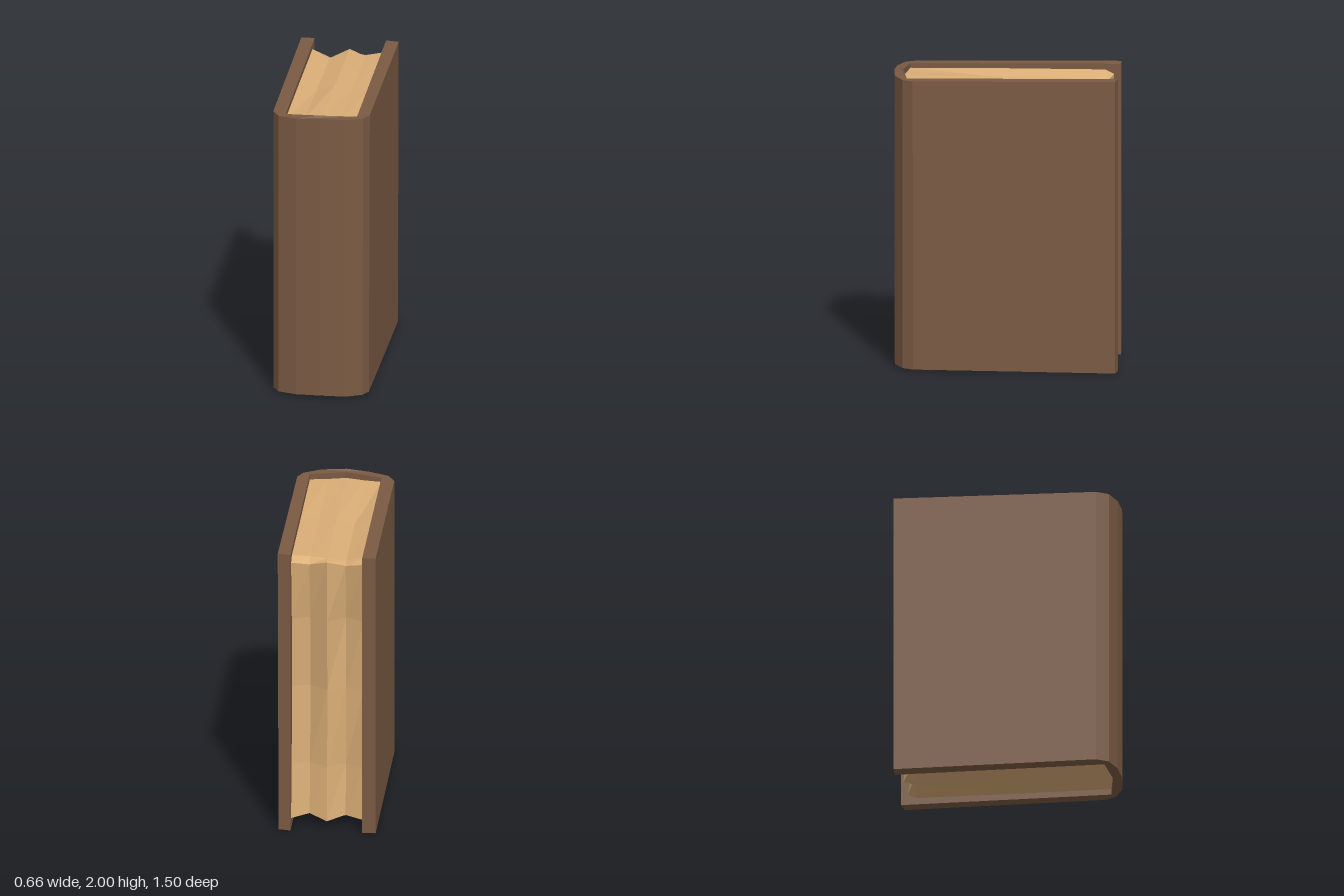
import * as THREE from 'three';

const coverMaterial = new THREE.MeshStandardMaterial({ color: 0x7a5a43, flatShading: true });
coverMaterial.name = 'brown leather';
const pageMaterial = new THREE.MeshStandardMaterial({ color: 0xd9ad76, flatShading: true });
pageMaterial.name = 'aged paper';

// Move every vertex of a geometry by a rule
function reshape(geometry, rule) {
  const pos = geometry.attributes.position;
  const v = new THREE.Vector3();
  for (let i = 0; i < pos.count; i++) {
    v.fromBufferAttribute(pos, i);
    rule(v);
    pos.setXYZ(i, v.x, v.y, v.z);
  }
  geometry.computeVertexNormals();
  return geometry;
}

// Two boards and a rounded spine in one U-shaped extrusion, points are (x, z)
function makeCover() {
  const outline = [
    [-0.33, -0.75], [-0.24, -0.75], [-0.24, 0.655], [0, 0.69], [0.24, 0.655], [0.24, -0.755],
    [0.327, -0.74], [0.32, 0.61], [0.285, 0.68], [0.17, 0.737], [0, 0.75], [-0.16, 0.737],
    [-0.285, 0.69], [-0.33, 0.61],
  ];
  const shape = new THREE.Shape(outline.map(([x, z]) => new THREE.Vector2(x, -z)));
  const geometry = new THREE.ExtrudeGeometry(shape, { depth: 2, bevelEnabled: false });
  geometry.rotateX(-Math.PI / 2);
  // Slightly worn, uneven top and bottom edges
  reshape(geometry, (v) => {
    const front = (v.z + 0.75) / 1.5;
    const middle = 1 - Math.abs(v.x) / 0.33;
    v.y = v.y > 1
      ? 2 - 0.016 * front + 0.012 * middle * front - (v.x < 0 ? 0.006 : 0)
      : 0.003 + 0.01 * front + 0.008 * middle * front;
    if (v.x > 0.25 && v.y < 1) v.x -= 0.006;
  });
  const mesh = new THREE.Mesh(geometry, coverMaterial);
  mesh.name = 'cover';
  return mesh;
}

// Paper block with two rough grooves along the open edge
function makePages() {
  const columns = [-0.242, -0.12, 0, 0.12, 0.242];
  const rows = [0.05, 0.45, 1, 1.5, 1.955];
  const depths = [-0.7, -0.64, 0, 0.66];
  const backEdge = [ // z of the open edge, one line for each row
    [-0.70, -0.66, -0.715, -0.67, -0.71],
    [-0.69, -0.62, -0.69, -0.63, -0.67],
    [-0.66, -0.63, -0.68, -0.60, -0.64],
    [-0.68, -0.61, -0.70, -0.62, -0.66],
    [-0.705, -0.66, -0.72, -0.68, -0.71],
  ];
  const dip = [ // how far top and bottom sink, one line for each depth
    [0.03, 0.06, 0.015, 0.05, 0.03],
    [0, 0.045, 0.01, 0.015, 0],
    [0, 0.04, 0.005, 0.015, 0.005],
    [0.005, 0.005, 0, 0.005, 0.005],
  ];
  const geometry = new THREE.BoxGeometry(4, 4, 3, 4, 4, 3);
  reshape(geometry, (v) => {
    const i = Math.round(v.x + 2);
    const j = Math.round(v.y + 2);
    const k = Math.round(v.z + 1.5);
    v.x = columns[i];
    v.y = rows[j];
    v.z = depths[k];
    if (k === 0) v.z = backEdge[j][i];
    if (k === 1) v.z = backEdge[j][i] + 0.06;
    if (k === 3) v.z += 0.035 * (1 - Math.abs(v.x) / 0.242);
    if (j === 4) v.y -= dip[k][i];
    if (j === 0) v.y += dip[k][4 - i] * 0.8;
  });
  const mesh = new THREE.Mesh(geometry, pageMaterial);
  mesh.name = 'pages';
  return mesh;
}

export function createModel() {
  const book = new THREE.Group();
  book.name = 'book';
  book.add(makeCover(), makePages());
  return book;
}
